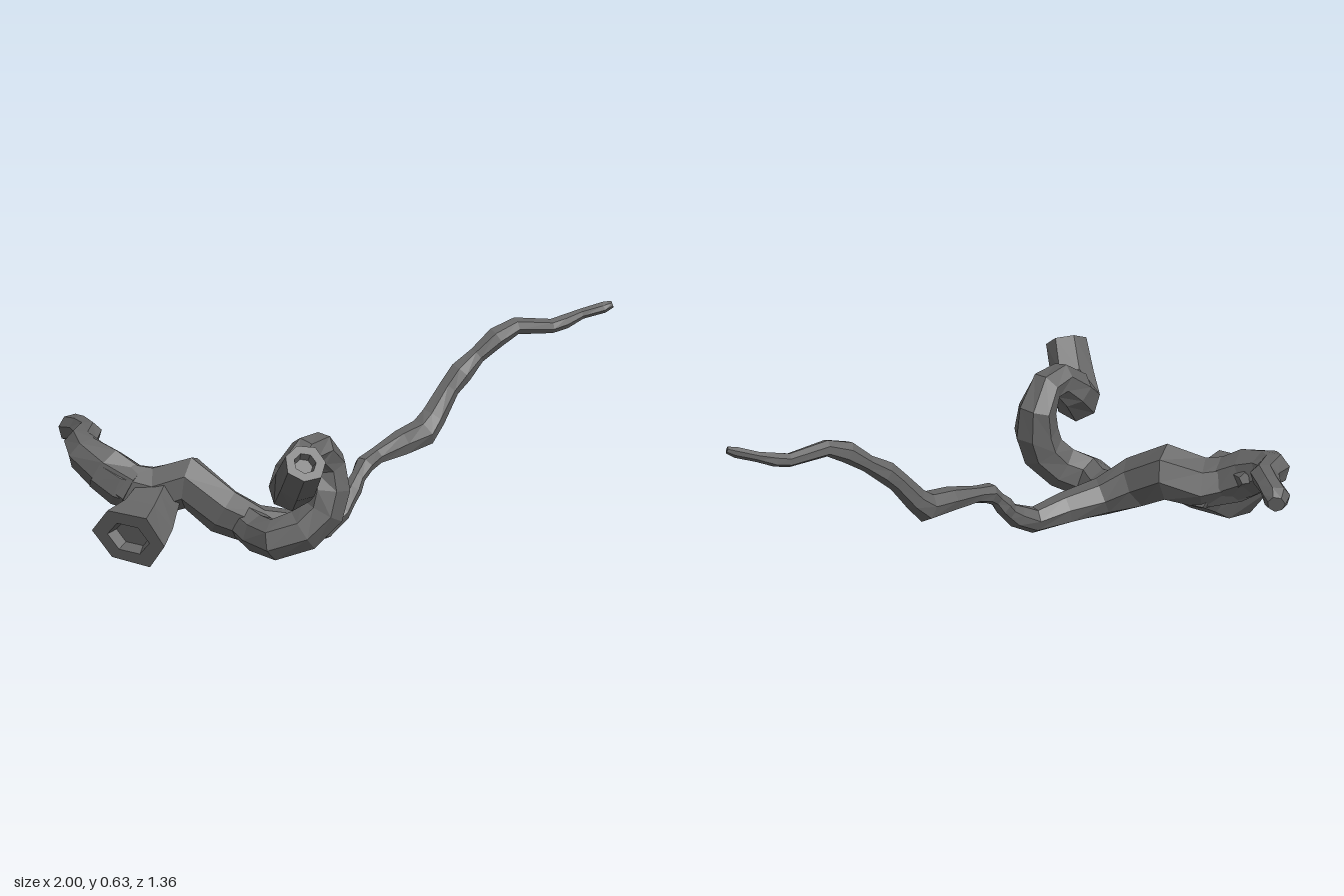
import * as THREE from 'three';

const wood = new THREE.MeshStandardMaterial({ color: 0x666666, flatShading: true });
wood.name = 'grey wood';

// Small seeded generator for knobbly cross-sections
function seeded(seed) {
  let s = seed;
  return () => ((s = (s * 16807) % 2147483647) / 2147483647);
}

// Faceted limb through stations [x, y, z, radius, (flattening)]; hollow = depth of a recessed end
function limb(name, stations, { sides = 7, hollow = 0, seed = 7, rough = 0.08, spin = 0 } = {}) {
  const rand = seeded(seed);
  const pts = stations.map(s => new THREE.Vector3(s[0], s[1], s[2]));
  const last = pts.length - 1;
  const pos = [], index = [];
  let normal = new THREE.Vector3(0, 1, 0);
  const tangent = new THREE.Vector3(), side = new THREE.Vector3();

  const ring = (centre, r, flat, wobble) => {
    for (let j = 0; j < sides; j++) {
      const a = spin + j / sides * Math.PI * 2;
      const k = r * (1 + wobble * (rand() * 2 - 1));
      const p = centre.clone()
        .addScaledVector(normal, Math.cos(a) * k * flat)
        .addScaledVector(side, Math.sin(a) * k);
      pos.push(p.x, p.y, p.z);
    }
  };

  stations.forEach(([, , , r, flat = 1], i) => {
    const before = pts[i].clone().sub(pts[Math.max(i - 1, 0)]).normalize();
    const after = pts[Math.min(i + 1, last)].clone().sub(pts[i]).normalize();
    tangent.copy(before).add(after).normalize();
    normal.addScaledVector(tangent, -normal.dot(tangent)).normalize();
    side.crossVectors(tangent, normal);
    ring(pts[i], r, flat, rough);
  });
  let rings = pts.length;
  const endCentre = pts[last].clone();
  if (hollow) {
    const [, , , r, flat = 1] = stations[last];
    ring(endCentre, r * 0.55, flat, 0);
    endCentre.addScaledVector(tangent, -hollow);
    ring(endCentre, r * 0.45, flat, 0);
    rings += 2;
  }
  // Skin and end caps
  const first = pos.length / 3;
  pos.push(...pts[0].toArray(), ...endCentre.toArray());
  for (let j = 0; j < sides; j++) {
    const n = (j + 1) % sides;
    for (let i = 0; i < rings - 1; i++) {
      const a = i * sides + j, b = i * sides + n;
      index.push(a, b, a + sides, b, b + sides, a + sides);
    }
    const e = (rings - 1) * sides;
    index.push(first, n, j, first + 1, e + j, e + n);
  }
  const geo = new THREE.BufferGeometry();
  geo.setAttribute('position', new THREE.Float32BufferAttribute(pos, 3));
  geo.setIndex(index);
  geo.computeVertexNormals();
  const mesh = new THREE.Mesh(geo, wood);
  mesh.name = name;
  return mesh;
}

export function createModel() {
  const group = new THREE.Group();
  group.name = 'twistedRoot';

  // Thick body running into the long tapering root
  group.add(limb('trunkAndLongRoot', [
    [-0.86, 0.27, 0.05, 0.075], [-0.79, 0.23, 0.08, 0.085], [-0.67, 0.2, 0.09, 0.095],
    [-0.54, 0.24, 0.1, 0.1], [-0.42, 0.16, 0.18, 0.09], [-0.3, 0.1, 0.17, 0.07],
    [-0.17, 0.075, 0.12, 0.055], [-0.06, 0.05, 0.06, 0.047], [0.0, 0.09, 0.01, 0.042],
    [0.025, 0.12, -0.02, 0.032], [0.045, 0.155, -0.045, 0.038], [0.065, 0.19, -0.07, 0.028],
    [0.09, 0.225, -0.1, 0.036], [0.13, 0.24, -0.15, 0.032], [0.22, 0.255, -0.24, 0.046],
    [0.3, 0.265, -0.32, 0.056], [0.34, 0.31, -0.36, 0.045], [0.4, 0.4, -0.41, 0.04],
    [0.44, 0.45, -0.44, 0.042], [0.5, 0.5, -0.48, 0.033], [0.57, 0.555, -0.51, 0.04],
    [0.64, 0.585, -0.55, 0.033], [0.77, 0.56, -0.61, 0.026], [0.82, 0.57, -0.63, 0.027],
    [0.88, 0.59, -0.655, 0.019], [0.96, 0.61, -0.665, 0.02], [0.99, 0.62, -0.67, 0.013],
  ], { seed: 11 }));

  // Forward limb that coils upwards and ends in a hollow cut
  group.add(limb('coiledLimb', [
    [-0.36, 0.13, 0.18, 0.065], [-0.3, 0.1, 0.25, 0.07], [-0.24, 0.105, 0.335, 0.078],
    [-0.14, 0.14, 0.335, 0.08], [-0.07, 0.21, 0.32, 0.082], [-0.05, 0.29, 0.305, 0.08],
    [-0.055, 0.38, 0.29, 0.07], [-0.085, 0.45, 0.34, 0.064], [-0.13, 0.455, 0.39, 0.062],
    [-0.175, 0.4, 0.435, 0.07], [-0.185, 0.345, 0.475, 0.083], [-0.165, 0.4, 0.535, 0.08],
    [-0.14, 0.5, 0.622, 0.075],
  ], { seed: 23, hollow: 0.03, rough: 0.05 }));

  // Crooked rear limb
  group.add(limb('rearLimb', [
    [-0.74, 0.22, 0.09, 0.085], [-0.84, 0.27, 0.05, 0.085], [-0.91, 0.315, -0.01, 0.07],
    [-0.925, 0.33, -0.06, 0.06], [-0.9, 0.34, -0.14, 0.05], [-0.925, 0.335, -0.21, 0.045],
    [-0.955, 0.315, -0.27, 0.05], [-0.955, 0.305, -0.31, 0.032],
  ], { seed: 41 }));

  // Short knot beside the rear limb
  group.add(limb('knot', [
    [-0.8, 0.24, 0.07, 0.06], [-0.82, 0.27, 0.0, 0.045], [-0.825, 0.28, -0.04, 0.022],
  ], { sides: 5, seed: 5 }));

  // Flared, squared-off stump at the front
  group.add(limb('cutStump', [
    [-0.64, 0.21, 0.07, 0.09], [-0.68, 0.16, 0.16, 0.1], [-0.71, 0.13, 0.22, 0.12, 0.95],
    [-0.765, 0.105, 0.315, 0.155, 0.75],
  ], { sides: 6, seed: 17, hollow: 0.04, rough: 0.06, spin: Math.PI / 6 }));

  return group;
}
